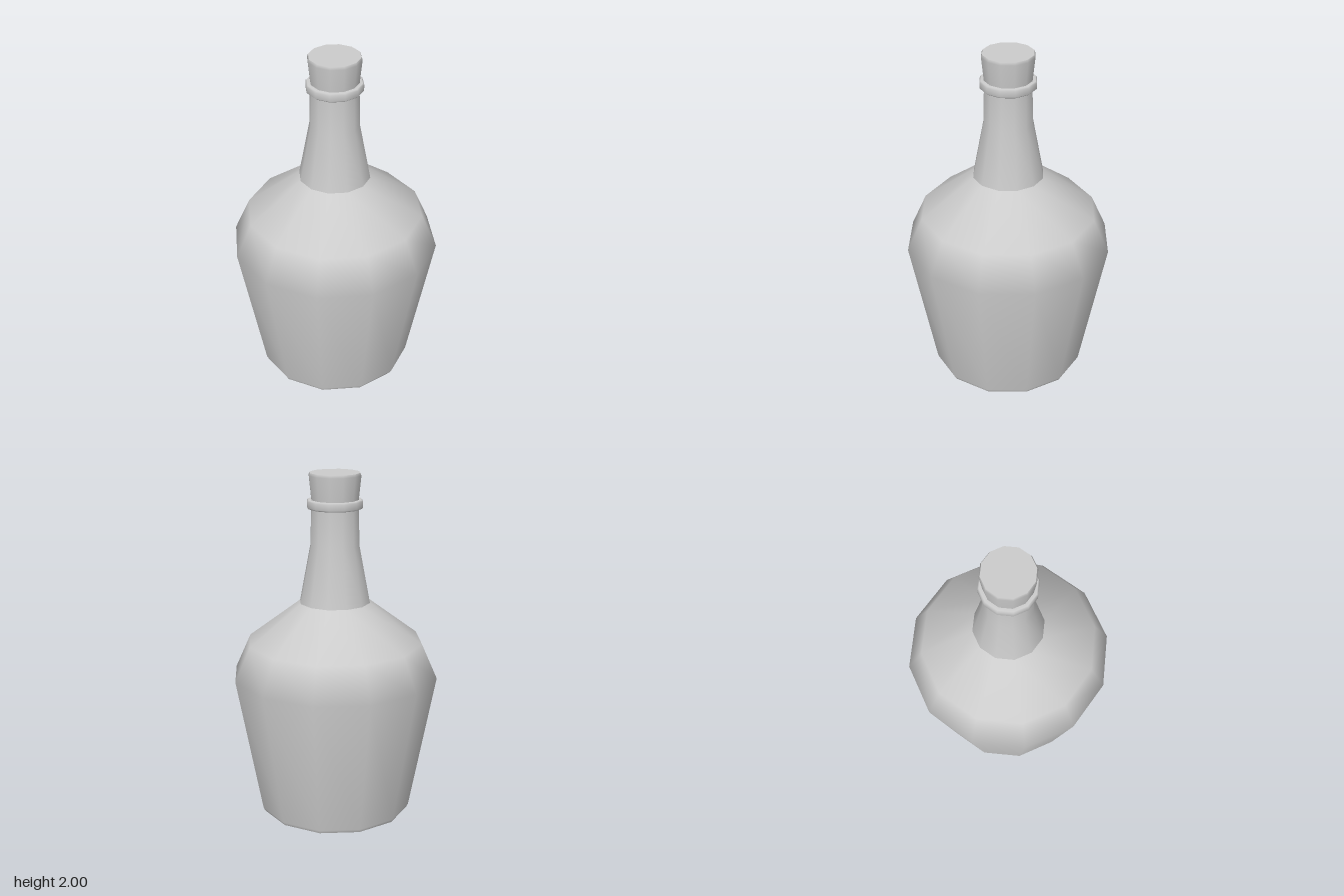
import * as THREE from 'three';

const SIDES = 12;

export function createModel() {
  const group = new THREE.Group();
  const material = new THREE.MeshStandardMaterial({ color: 0xcccccc });

  // Turned part: profile of [radius, height], listed from bottom to top
  function turned(name, profile) {
    const points = profile.map(([r, y]) => new THREE.Vector2(r, y));
    const mesh = new THREE.Mesh(new THREE.LatheGeometry(points, SIDES), material);
    mesh.name = name;
    group.add(mesh);
  }

  // Flat underside
  turned('base', [[0, 0], [0.44, 0]]);

  // Flared body, sloping shoulder
  turned('body', [[0.44, 0], [0.45, 0.02], [0.6, 0.83], [0.51, 1.03], [0.205, 1.26]]);

  // Tapered neck
  turned('neck', [[0.205, 1.26], [0.142, 1.59], [0.136, 1.82]]);

  // Lip ring around the mouth
  turned('lipRing', [
    [0.12, 1.8], [0.153, 1.8], [0.161, 1.808], [0.161, 1.842], [0.153, 1.85], [0.12, 1.85],
  ]);

  // Stopper, widening upwards, with a small bevel and a flat top
  turned('stopper', [[0.134, 1.83], [0.15, 1.985], [0.144, 2]]);
  turned('stopperTop', [[0.144, 2], [0, 2]]);

  return group;
}
